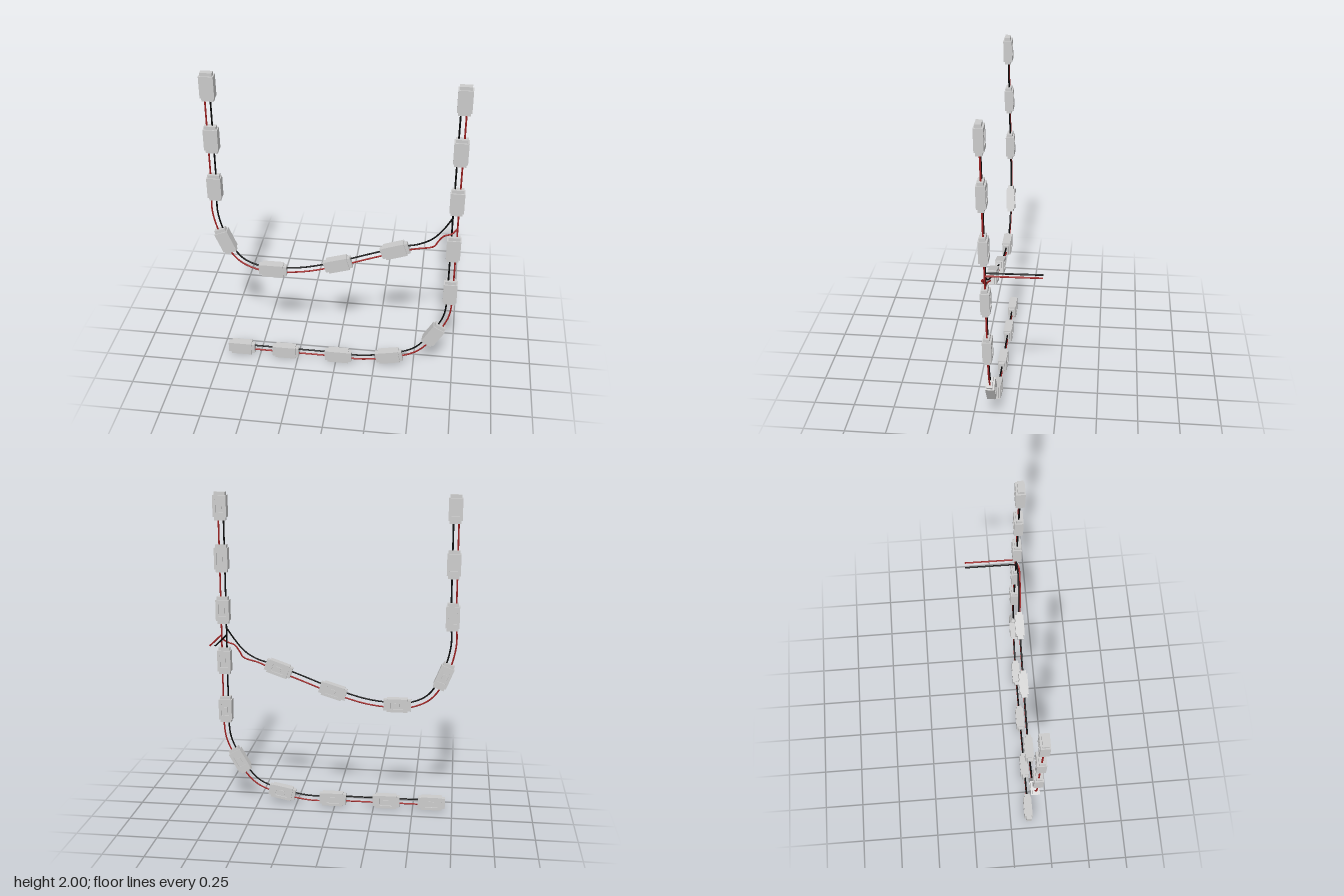
import * as THREE from 'three';

const grey = new THREE.MeshStandardMaterial({ color: 0xcccccc, flatShading: true });
const red = new THREE.MeshStandardMaterial({ color: 0xa02020 });
const black = new THREE.MeshStandardMaterial({ color: 0x080808 });

const WIRE_R = 0.005, GAP = 0.016;
const v = (x, y, z = 0) => new THREE.Vector3(x, y, z);

function box(name, w, h, d, x = 0, y = 0, z = 0) {
  const m = new THREE.Mesh(new THREE.BoxGeometry(w, h, d), grey);
  m.name = name;
  m.position.set(x, y, z);
  return m;
}

function rect(target, w, h) {
  target.moveTo(-w / 2, -h / 2).lineTo(w / 2, -h / 2).lineTo(w / 2, h / 2).lineTo(-w / 2, h / 2).closePath();
  return target;
}

// One lamp module: housing, raised rear rim around a small lamp, a cable clamp at each end
function lampModule(x, y, degrees) {
  const g = new THREE.Group();
  g.name = 'lampModule';
  g.add(box('housing', 0.132, 0.084, 0.044, 0, 0, 0.005));
  const shape = rect(new THREE.Shape(), 0.132, 0.084);
  shape.holes.push(rect(new THREE.Path(), 0.078, 0.05));
  const rim = new THREE.Mesh(new THREE.ExtrudeGeometry(shape, { depth: 0.009, bevelEnabled: false }), grey);
  rim.name = 'rearRim';
  rim.position.z = -0.026;
  g.add(rim, box('lamp', 0.034, 0.024, 0.007, 0, 0, -0.02));
  for (const s of [-1, 1]) g.add(box('cableClamp', 0.022, 0.07, 0.035, s * 0.075, 0, 0.002));
  g.position.set(x, y, 0);
  g.rotation.z = THREE.MathUtils.degToRad(degrees);
  return g;
}

function wire(name, points, material, segments = 160) {
  const curve = new THREE.CatmullRomCurve3(points, false, 'centripetal');
  const m = new THREE.Mesh(new THREE.TubeGeometry(curve, segments, WIRE_R, 8), material);
  m.name = name;
  return m;
}

// Points running beside a centre line, shifted sideways in its plane
function offsetPoints(centre, side) {
  const curve = new THREE.CatmullRomCurve3(centre.map(([x, y]) => v(x, y)), false, 'centripetal');
  return Array.from({ length: 61 }, (_, i) => {
    const p = curve.getPointAt(i / 60), t = curve.getTangentAt(i / 60);
    return v(p.x - t.y * side, p.y + t.x * side);
  });
}

// Module positions and angles along each strand
const upperModules = [
  [-0.715, 1.915, 90], [-0.715, 1.585, 90], [-0.718, 1.265, 90], [-0.675, 0.89, 112],
  [-0.39, 0.695, 0], [0.015, 0.772, 17], [0.36, 0.905, 19],
];
const lowerModules = [
  [-0.62, 0.052, 0], [-0.33, 0.048, 0], [0.015, 0.047, 0], [0.345, 0.078, 11], [0.62, 0.285, 60],
  [0.705, 0.625, 90], [0.706, 0.945, 90], [0.708, 1.27, 90], [0.709, 1.595, 90], [0.71, 1.915, 90],
];

// Centre lines of the paired wires
const upperPath = [
  [-0.719, 1.94], [-0.721, 1.585], [-0.723, 1.265], [-0.728, 1.08], [-0.675, 0.89], [-0.59, 0.755],
  [-0.48, 0.7], [-0.39, 0.692], [-0.2, 0.71], [0.015, 0.772], [0.2, 0.842], [0.4, 0.917],
];
const lowerPath = [
  [-0.65, 0.053], [-0.33, 0.051], [0.015, 0.049], [0.15, 0.043], [0.345, 0.078], [0.51, 0.145],
  [0.62, 0.285], [0.69, 0.43], [0.704, 0.54], [0.705, 0.7], [0.705, 1.27], [0.707, 1.94],
];

export function createModel() {
  const strip = new THREE.Group();
  strip.name = 'lampStrip';
  for (const m of [...upperModules, ...lowerModules]) strip.add(lampModule(...m));

  // Lower strand wires
  strip.add(wire('lowerBlackWire', offsetPoints(lowerPath, GAP), black));
  strip.add(wire('lowerRedWire', offsetPoints(lowerPath, -GAP), red));

  // Upper strand wires, which run on to join the lower strand
  strip.add(wire('upperBlackWire', [
    ...offsetPoints(upperPath, GAP),
    v(0.5, 0.962, 0.005), v(0.58, 1.01, 0.01), v(0.64, 1.08, 0.01), v(0.688, 1.155, 0),
  ], black, 200));
  strip.add(wire('upperRedWire', [
    ...offsetPoints(upperPath, -GAP),
    v(0.49, 0.935, 0.015), v(0.59, 0.965, 0.022), v(0.615, 1.005, 0.022), v(0.645, 1.043, 0.022),
    v(0.69, 1.06, 0.02), v(0.72, 1.085, 0.002),
  ], red, 200));

  // Supply leads running straight back
  strip.add(wire('blackSupplyLead', [v(0.688, 1.112, 0), v(0.688, 1.112, -0.318)], black, 4));
  strip.add(wire('redSupplyLead', [v(0.721, 1.112, 0), v(0.721, 1.112, -0.318)], red, 4));

  // The whole strip leans slightly forward
  strip.rotation.x = 0.0157;
  strip.position.z = 0.121;

  const model = new THREE.Group();
  model.name = 'lampString';
  model.add(strip);
  return model;
}
